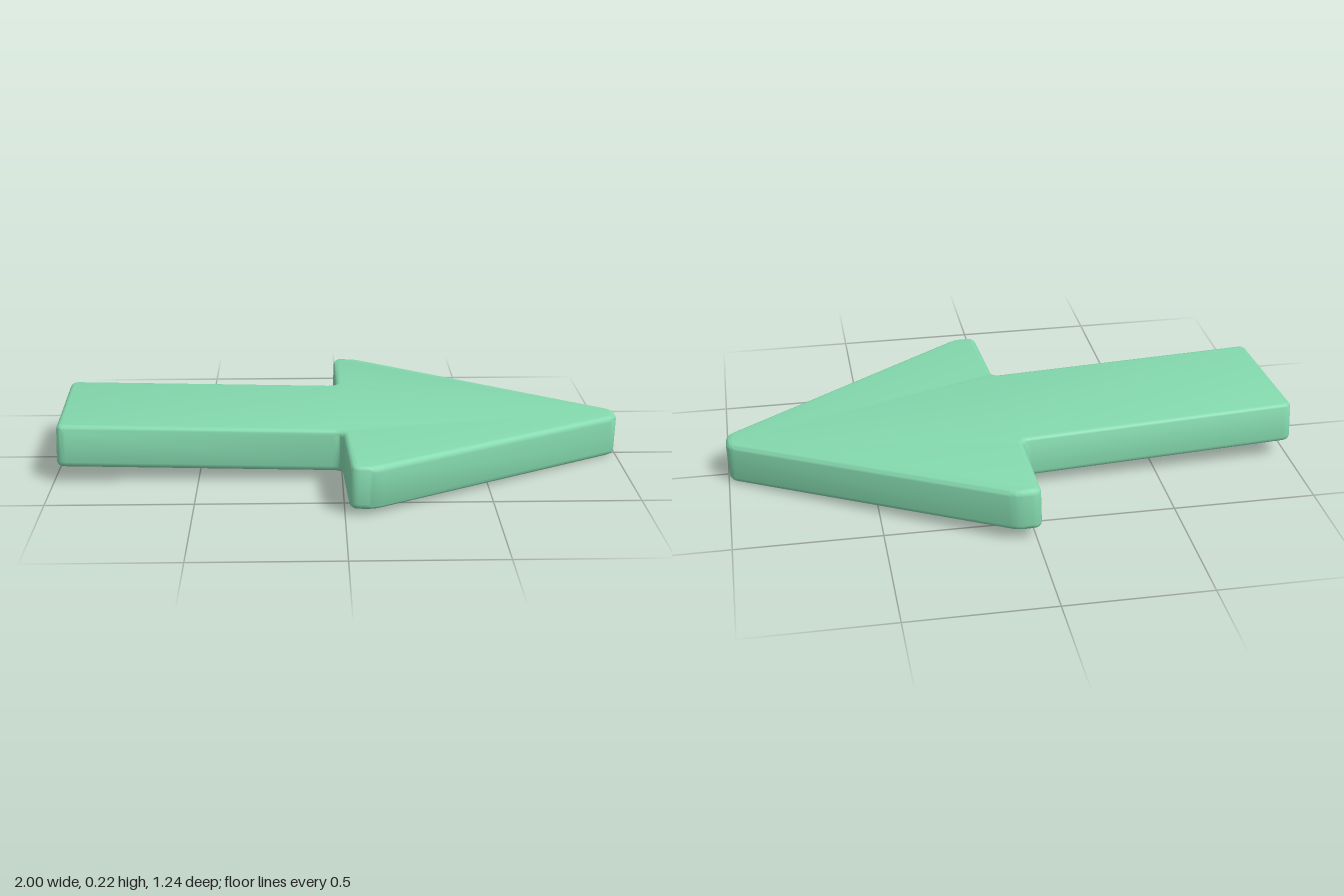
import * as THREE from 'three';
import { toCreasedNormals } from 'three/addons/utils/BufferGeometryUtils.js';

// Closed outline with every corner softened by a small curve
function roundedOutline(points, trim) {
  const shape = new THREE.Shape();
  const pts = points.map(([x, z]) => new THREE.Vector2(x, -z));
  const n = pts.length;
  pts.forEach((p, i) => {
    const toward = (q) => p.clone().add(q.clone().sub(p).setLength(trim));
    const a = toward(pts[(i + n - 1) % n]);
    const b = toward(pts[(i + 1) % n]);
    if (i === 0) shape.moveTo(a.x, a.y);
    else shape.lineTo(a.x, a.y);
    shape.quadraticCurveTo(p.x, p.y, b.x, b.y);
  });
  shape.closePath();
  return shape;
}

export function createModel() {
  const group = new THREE.Group();
  group.name = 'arrow';

  // Arrow outline as [x, z], slightly irregular
  const outline = [
    [-0.985, 0.287], [0, 0.263], [0.017, 0.618], [0.1, 0.618], [1, 0.022],
    [1, -0.06], [0.07, -0.625], [-0.015, -0.625], [-0.015, -0.27], [-1, -0.237],
  ];
  const thickness = 0.15, bevel = 0.02;
  let geometry = new THREE.ExtrudeGeometry(roundedOutline(outline, 0.032), {
    depth: thickness - 2 * bevel,
    bevelSize: bevel, bevelThickness: bevel, bevelOffset: -bevel,
    bevelSegments: 4, curveSegments: 6,
  });
  geometry.rotateX(-Math.PI / 2);
  geometry.translate(0, bevel - thickness / 2, 0);

  // Gentle tilt: lower toward the tip and toward the front
  geometry.rotateZ(-0.033);
  geometry.rotateX(0.02);
  geometry = toCreasedNormals(geometry, 0.8);

  // Centre and stand on the ground
  geometry.computeBoundingBox();
  const { min, max } = geometry.boundingBox;
  geometry.translate(-(min.x + max.x) / 2, -min.y, -(min.z + max.z) / 2);

  const body = new THREE.Mesh(geometry, new THREE.MeshStandardMaterial({ color: 0x84d9ae }));
  body.name = 'arrowBody';
  group.add(body);
  return group;
}
